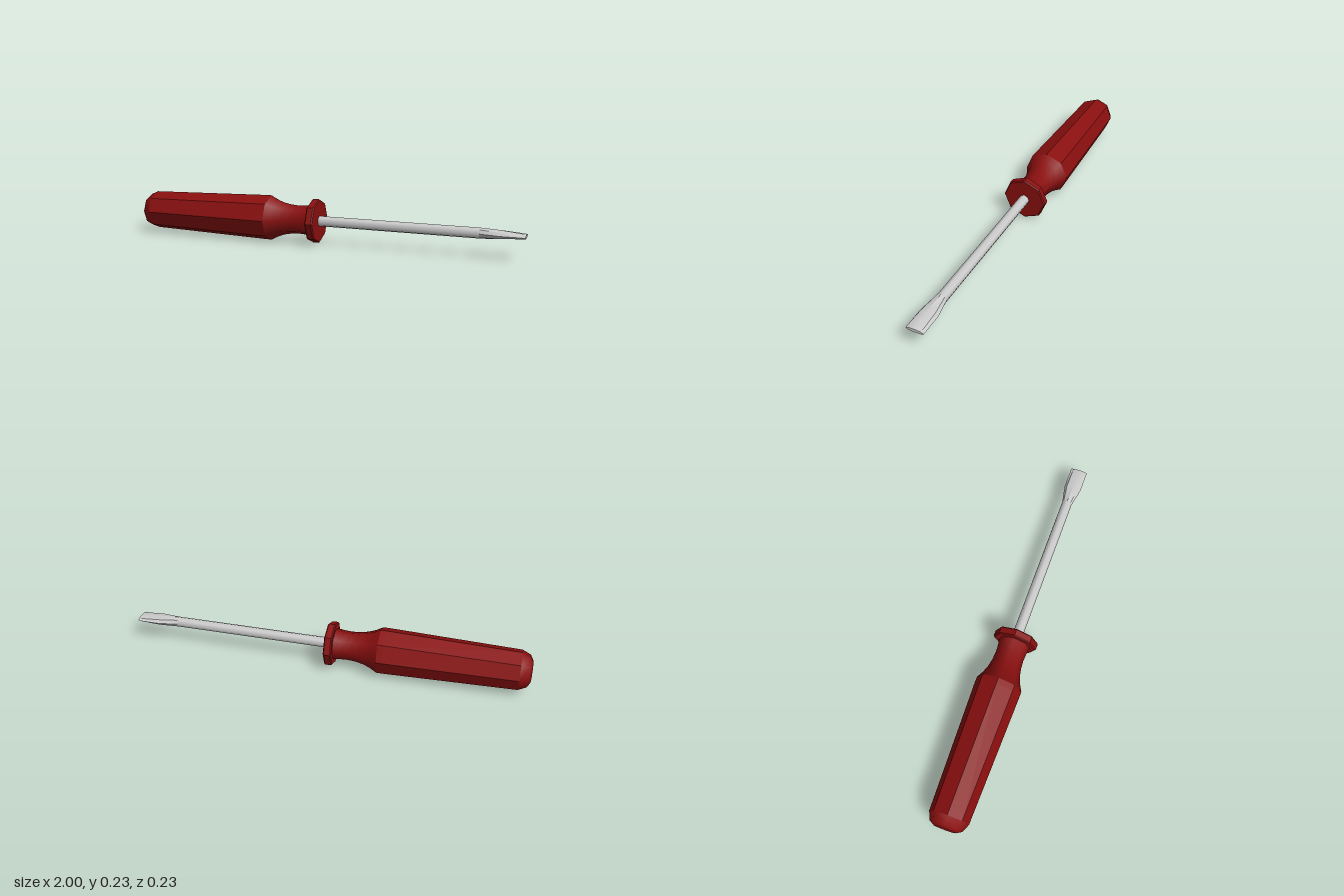
import * as THREE from 'three';
import { toCreasedNormals } from 'three/addons/utils/BufferGeometryUtils.js';

const SIDES = 8;
const AXIS_Y = 0.117;

// Turned octagonal part along x; profile is a list of [x, radius]
function turned(profile) {
  const points = profile.map(([x, r]) => new THREE.Vector2(r, x));
  return new THREE.LatheGeometry(points, SIDES).rotateZ(-Math.PI / 2);
}

export function createModel() {
  const model = new THREE.Group();
  const red = new THREE.MeshStandardMaterial({ color: 0x8a0f0f });
  const steel = new THREE.MeshStandardMaterial({ color: 0xcccccc });

  const add = (name, geometry, material) => {
    const mesh = new THREE.Mesh(geometry, material);
    mesh.name = name;
    mesh.position.y = AXIS_Y;
    model.add(mesh);
  };

  // Handle: domed end, faceted grip, waisted neck and collar
  add('handleEnd', turned([[-1, 0], [-1, 0.054], [-0.985, 0.08], [-0.945, 0.098]]), red);
  add('grip', toCreasedNormals(turned([[-0.945, 0.098], [-0.3, 0.115], [-0.27, 0.115]]), 0.5), red);
  add('neck', turned([[-0.27, 0.115], [-0.235, 0.096], [-0.2, 0.083], [-0.16, 0.075],
    [-0.12, 0.072], [-0.08, 0.074], [-0.042, 0.08]]), red);
  add('collar', toCreasedNormals(turned([[-0.046, 0], [-0.046, 0.106], [-0.041, 0.111],
    [-0.012, 0.111], [-0.007, 0.106], [-0.007, 0]]), 0.5), red);

  // Shaft
  add('shaft', turned([[-0.02, 0.026], [0.79, 0.026]]), steel);

  // Blade: round section flares sideways and flattens towards the tip
  const sections = [[0.79, 0.026, 0.026], [0.885, 0.021, 0.044], [1, 0.009, 0.044]]; // x, half height, half width
  const blade = new THREE.CylinderGeometry(1, 1, 2, SIDES, 2).rotateZ(-Math.PI / 2);
  const p = blade.attributes.position;
  for (let i = 0; i < p.count; i++) {
    const [x, h, w] = sections[Math.round(p.getX(i)) + 1];
    p.setXYZ(i, x, p.getY(i) * h, p.getZ(i) * w);
  }
  add('blade', toCreasedNormals(blade, 0.4), steel);

  return model;
}
